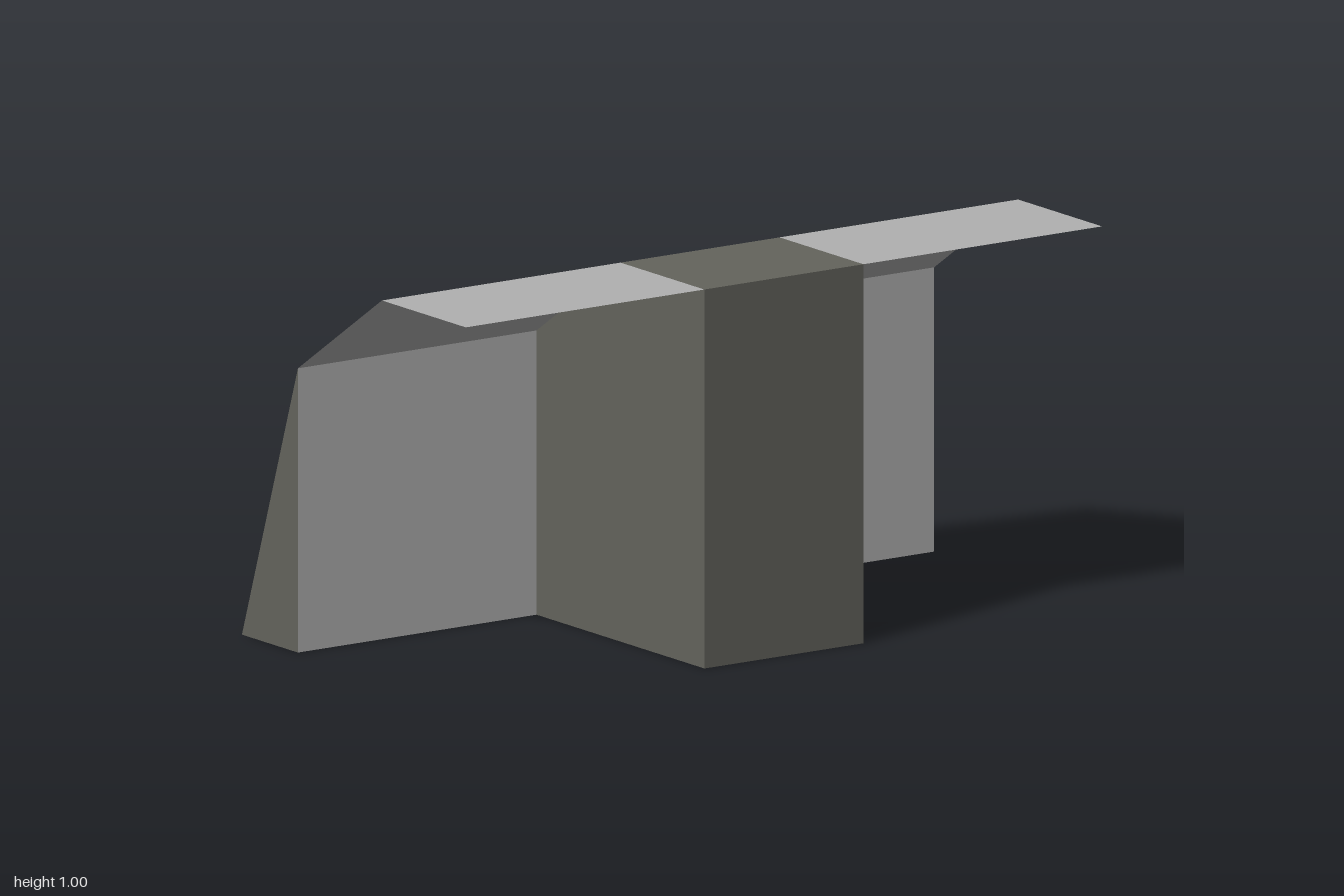
import * as THREE from 'three';

// Builds flat faces from convex polygons given as lists of [x, y, z] corners
function facesGeometry(polygons) {
  const positions = [];
  for (const p of polygons) {
    for (let i = 1; i < p.length - 1; i++) positions.push(...p[0], ...p[i], ...p[i + 1]);
  }
  const geometry = new THREE.BufferGeometry();
  geometry.setAttribute('position', new THREE.Float32BufferAttribute(positions, 3));
  geometry.computeVertexNormals();
  return geometry;
}

// Sweeps a [z, y] profile across x; the profile runs up the front, over and down the back
function sweep(profile, x0, x1) {
  return profile.slice(1).map(([zb, yb], i) => {
    const [za, ya] = profile[i];
    return [[x0, ya, za], [x1, ya, za], [x1, yb, zb], [x0, yb, zb]];
  });
}

// Closes both ends of a swept profile
function caps(profile, x0, x1) {
  const end = (x) => profile.map(([z, y]) => [x, y, z]);
  return [end(x0), end(x1).reverse()];
}

export function createModel() {
  const group = new THREE.Group();
  const darkStone = new THREE.MeshStandardMaterial({ color: 0x63635c });
  darkStone.name = 'dark stone';
  const lightGrey = new THREE.MeshStandardMaterial({ color: 0xb0b0b0, side: THREE.DoubleSide });
  lightGrey.name = 'light grey';

  const add = (name, polygons, material) => {
    const mesh = new THREE.Mesh(facesGeometry(polygons), material);
    mesh.name = name;
    group.add(mesh);
  };

  const roof = [[0.5, 1], [0.125, 1], [-0.25, 0.75]];

  // Central pier, open where it joins the back wall
  const pier = [[0.5, 0], ...roof];
  const pierSide = [...pier, [-0.25, 0]];
  add('centralPier', [
    ...sweep(pier, -0.25, 0.25),
    ...sweep([[-0.25, 0], [0.5, 0]], -0.25, 0.25),
    ...caps(pierSide, -0.25, 0.25),
  ], darkStone);

  // Full-width back wall with a sloping rear face
  const wall = [[-0.25, 0.75], [-0.5, 0], [-0.25, 0]];
  add('backWall', [...sweep(wall, -1, 1), ...caps(wall, -1, 1)], darkStone);

  // Front panels and thin roof sheets on both sides of the pier
  for (const [side, x0, x1] of [['left', 0.25, 1], ['right', -1, -0.25]]) {
    add(side + 'WallPanel', sweep([[-0.25, 0], [-0.25, 0.75]], x0, x1), lightGrey);
    add(side + 'Roof', sweep(roof, x0, x1), lightGrey);
  }
  return group;
}
